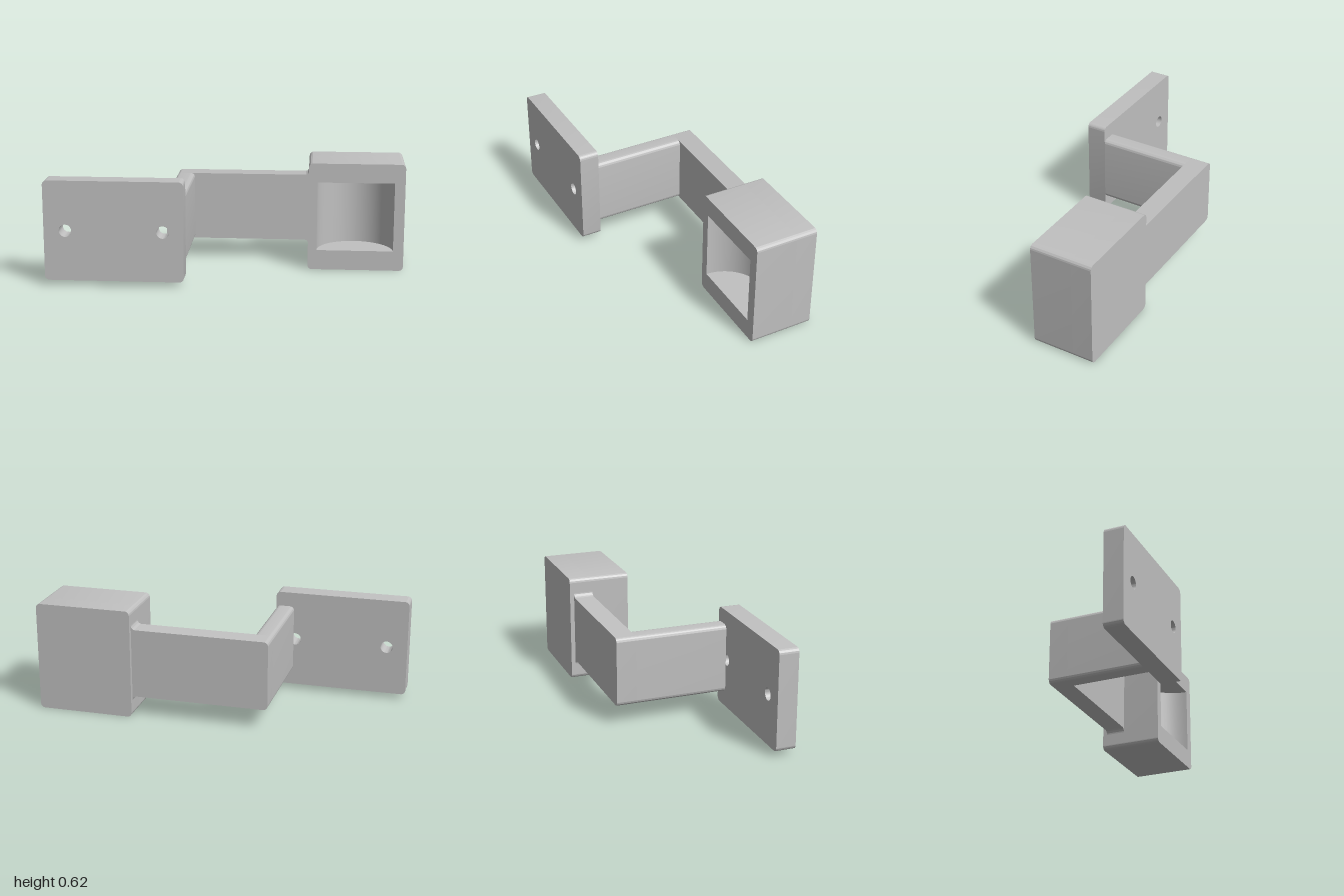
import * as THREE from 'three';
import { toCreasedNormals } from 'three/addons/utils/BufferGeometryUtils.js';

const R = 0.025; // edge rounding

// Rectangle in x/y with rounded corners
function roundedRect(x0, x1, y0, y1, r = R) {
  const s = new THREE.Shape();
  s.absarc(x1 - r, y0 + r, r, -Math.PI / 2, 0);
  s.absarc(x1 - r, y1 - r, r, 0, Math.PI / 2);
  s.absarc(x0 + r, y1 - r, r, Math.PI / 2, Math.PI);
  s.absarc(x0 + r, y0 + r, r, Math.PI, Math.PI * 1.5);
  s.closePath();
  return s;
}

// Straight extrusion with smooth curves and sharp edges
function extrude(shape, depth) {
  const g = new THREE.ExtrudeGeometry(shape, { depth, bevelEnabled: false, curveSegments: 16 });
  return toCreasedNormals(g, 0.5);
}

export function createModel() {
  const group = new THREE.Group();
  const grey = new THREE.MeshStandardMaterial({ color: 0xc0c0c0 });
  grey.name = 'grey';

  const add = (name, geometry) => {
    const mesh = new THREE.Mesh(geometry, grey);
    mesh.name = name;
    group.add(mesh);
  };
  const slab = (name, shape, z0, z1) => add(name, extrude(shape, z1 - z0).translate(0, 0, z0));

  // Mounting plate with two screw holes
  const plate = roundedRect(-1, -0.225, 0.03, 0.595);
  for (const x of [-0.88, -0.34]) {
    plate.holes.push(new THREE.Path().absarc(x, 0.313, 0.035, 0, Math.PI * 2, true));
  }
  slab('mountingPlate', plate, 0.278, 0.39);

  // Arm running back from the plate
  const y0 = 0.117, y1 = 0.512;
  slab('connectingArm', roundedRect(-0.33, -0.225, y0, y1), -0.251, 0.278);

  // Arm running sideways, flaring where it meets the block
  const arm = new THREE.Shape();
  arm.absarc(-0.33 + R, y0 + R, R, Math.PI, Math.PI * 1.5);
  arm.absarc(0.45 - R, y0 - R, R, Math.PI / 2, 0, true);
  arm.lineTo(0.45, y1 + R);
  arm.absarc(0.45 - R, y1 + R, R, 0, -Math.PI / 2, true);
  arm.absarc(-0.33 + R, y1 - R, R, Math.PI / 2, Math.PI);
  arm.closePath();
  slab('rearArm', arm, -0.365, -0.251);

  // Block: solid back and front frame around the pocket
  const px0 = 0.5, px1 = 0.94, py0 = 0.115, py1 = 0.515, front = -0.03, split = -0.27;
  slab('blockBack', roundedRect(0.45, 1, 0, 0.625), -0.39, split);
  const frame = roundedRect(0.45, 1, 0, 0.625);
  frame.holes.push(new THREE.Path([
    new THREE.Vector2(px0, py0), new THREE.Vector2(px0, py1),
    new THREE.Vector2(px1, py1), new THREE.Vector2(px1, py0), new THREE.Vector2(px0, py0),
  ]));
  slab('blockFrame', frame, split, front);

  // Half-round pocket lining, extruded upward
  const lining = new THREE.Shape();
  lining.moveTo(px0, -front);
  lining.lineTo(px0, -split);
  lining.lineTo(px1, -split);
  lining.lineTo(px1, -front);
  lining.absarc((px0 + px1) / 2, -front, (px1 - px0) / 2, 0, Math.PI);
  add('pocketLining', extrude(lining, py1 - py0).rotateX(-Math.PI / 2).translate(0, py0, 0));

  return group;
}
